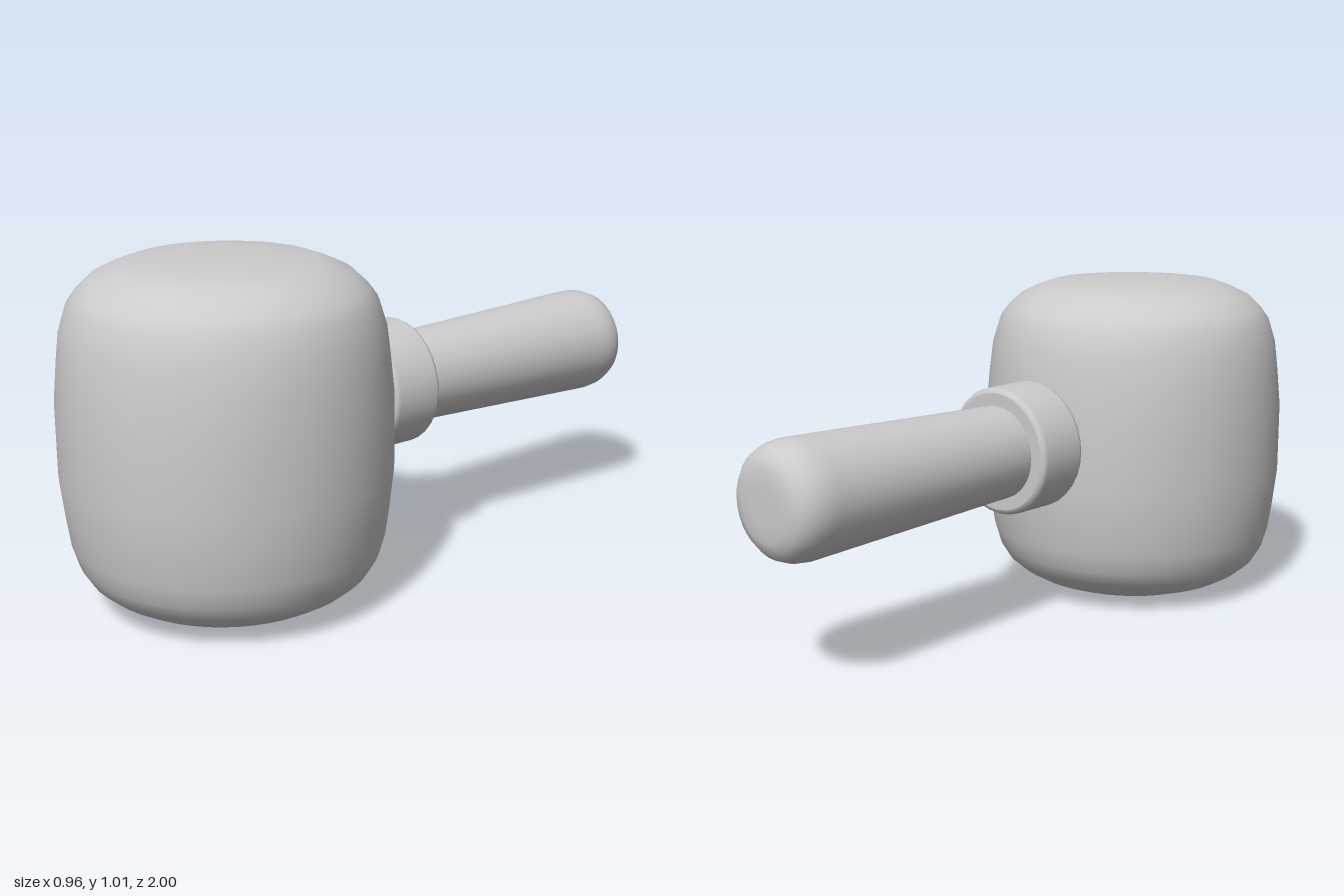
import * as THREE from 'three';

const material = new THREE.MeshStandardMaterial({ color: 0xcccccc });

// Smooth turned part from [radius, height] pairs
function turned(name, profile, segments) {
  const points = profile.map(([r, y]) => new THREE.Vector2(r, y));
  const mesh = new THREE.Mesh(new THREE.LatheGeometry(points, segments), material);
  mesh.name = name;
  return mesh;
}

export function createModel() {
  const model = new THREE.Group();
  model.name = 'mallet';

  // Barrel-shaped head standing upright
  const head = turned('head', [
    [0, 0.003], [0.14, 0.003], [0.2, 0.006], [0.27, 0.018], [0.33, 0.04], [0.375, 0.066],
    [0.41, 0.096], [0.437, 0.14], [0.455, 0.2], [0.467, 0.285], [0.48, 0.4], [0.48, 0.61],
    [0.468, 0.73], [0.458, 0.81], [0.435, 0.885], [0.41, 0.92], [0.37, 0.958],
    [0.32, 0.982], [0.27, 1.0], [0.14, 1.012], [0, 1.013],
  ], 48);
  head.position.z = 0.521;
  model.add(head);

  // Handle assembly: profile height runs backwards along -z
  const grip = new THREE.Group();
  grip.name = 'handleAssembly';
  grip.rotation.x = -Math.PI / 2;
  grip.position.y = 0.54;

  // Collar with small bevels; doubled points keep the flat faces crisp
  grip.add(turned('collar', [
    [0, -0.048], [0.178, -0.048], [0.18, -0.048], [0.19, -0.042], [0.195, -0.03],
    [0.195, 0.11], [0.19, 0.121], [0.18, 0.126], [0.178, 0.126], [0, 0.126],
  ], 32));

  // Handle flaring towards a rounded butt
  grip.add(turned('handle', [
    [0, -0.055], [0.134, -0.055], [0.141, 0.12], [0.168, 0.87], [0.169, 0.9],
    [0.165, 0.935], [0.152, 0.967], [0.13, 0.988], [0.1, 0.998], [0.06, 1.0], [0, 1.0],
  ], 32));

  model.add(grip);
  return model;
}
